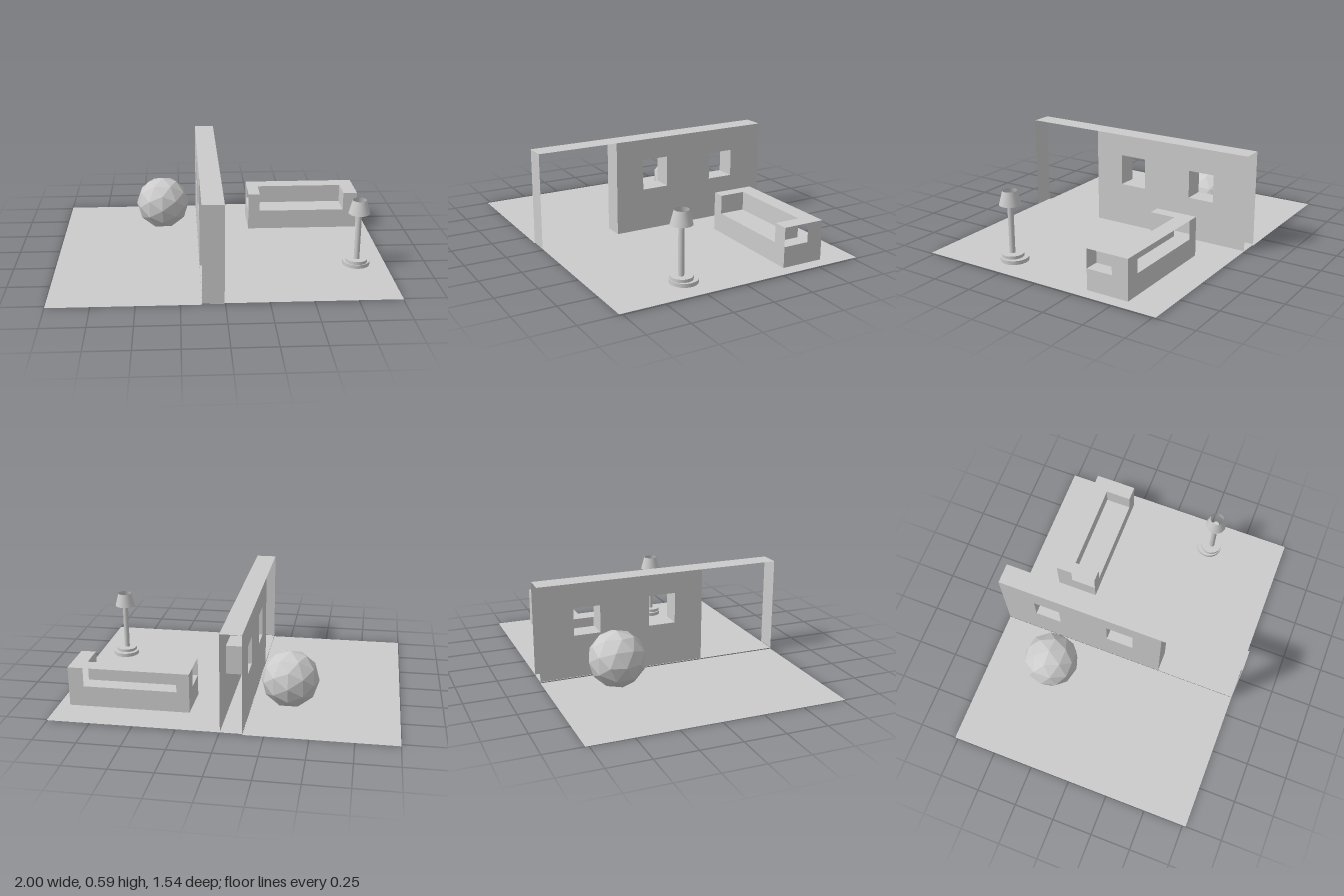
import * as THREE from 'three';

const mat = new THREE.MeshStandardMaterial({ color: 0xcccccc, side: THREE.DoubleSide, flatShading: true });
const smooth = new THREE.MeshStandardMaterial({ color: 0xcccccc, side: THREE.DoubleSide });

function add(parent, name, geometry, x = 0, y = 0, z = 0, material = mat) {
  const mesh = new THREE.Mesh(geometry, material);
  mesh.name = name;
  mesh.position.set(x, y, z);
  parent.add(mesh);
  return mesh;
}

function group(parent, name) {
  const g = new THREE.Group();
  g.name = name;
  parent.add(g);
  return g;
}

// Flat rectangles across each axis, given by their bounds
const rectY = (p, name, y, x0, x1, z0, z1) =>
  add(p, name, new THREE.PlaneGeometry(x1 - x0, z1 - z0).rotateX(-Math.PI / 2), (x0 + x1) / 2, y, (z0 + z1) / 2);
const rectZ = (p, name, z, x0, x1, y0, y1) =>
  add(p, name, new THREE.PlaneGeometry(x1 - x0, y1 - y0), (x0 + x1) / 2, (y0 + y1) / 2, z);
const rectX = (p, name, x, z0, z1, y0, y1) =>
  add(p, name, new THREE.PlaneGeometry(z1 - z0, y1 - y0).rotateY(Math.PI / 2), x, (y0 + y1) / 2, (z0 + z1) / 2);

function outline(Type, x0, x1, y0, y1) {
  const s = new Type();
  s.moveTo(x0, y0);
  s.lineTo(x1, y0);
  s.lineTo(x1, y1);
  s.lineTo(x0, y1);
  s.closePath();
  return s;
}

// Hollow dividing wall with two windows and a doorway at the front
function buildWall(parent) {
  const wall = group(parent, 'wall');
  const x0 = -0.13, x1 = -0.005, base = 0.008, top = 0.59;
  const windows = [[-0.08, 0.09, 0.27, 0.46], [-0.555, -0.39, 0.27, 0.44]];

  // Side sheets: shape x runs along -z
  const shape = outline(THREE.Shape, -0.27, 0.77, base, top);
  for (const [z0, z1, y0, y1] of windows) shape.holes.push(outline(THREE.Path, -z1, -z0, y0, y1));
  const side = new THREE.ShapeGeometry(shape).rotateY(Math.PI / 2);
  add(wall, 'wallLeftSide', side, x1);
  add(wall, 'wallRightSide', side, x0);

  // Window reveals
  for (const [z0, z1, y0, y1] of windows) {
    rectY(wall, 'windowSill', y0, x0, x1, z0, z1);
    rectY(wall, 'windowHead', y1, x0, x1, z0, z1);
    rectZ(wall, 'windowJamb', z0, x0, x1, y0, y1);
    rectZ(wall, 'windowJamb', z1, x0, x1, y0, y1);
  }
  rectY(wall, 'wallTop', top, x0, x1, -0.77, 0.77);
  rectZ(wall, 'doorJamb', 0.27, x0, x1, base, top);
  rectZ(wall, 'doorPost', 0.77, x0, x1, base, top);
}

// Sofa: closed lower body, thin-sheet back and arms open on their outer sides
function buildSofa(parent) {
  const sofa = group(parent, 'sofa');
  const [xa, xb, xc, xd] = [0.21, 0.285, 0.84, 0.93];
  const back = -0.56, mid = -0.46, front = -0.3, base = 0.01, seat = 0.135, top = 0.25;
  add(sofa, 'sofaBody', new THREE.BoxGeometry(xd - xa, seat - base, front - back),
    (xa + xd) / 2, (base + seat) / 2, (back + front) / 2);
  rectY(sofa, 'backrestTop', top, xa, xd, back, mid);
  rectZ(sofa, 'backrestFront', mid, xb, xc, seat, top);
  for (const [x0, x1, inner, outer] of [[xa, xb, xb, xa], [xc, xd, xc, xd]]) {
    rectY(sofa, 'armTop', top, x0, x1, mid, front);
    rectZ(sofa, 'armFront', front, x0, x1, seat, top);
    rectX(sofa, 'armInnerSide', inner, mid, front, seat, top);
    rectX(sofa, 'backrestSide', outer, back, mid, seat, top);
    rectZ(sofa, 'backrestCorner', back, x0, x1, seat, top);
  }
}

// Floor lamp: stepped base, pole and open shade
function buildLamp(parent) {
  const lamp = group(parent, 'floorLamp');
  const cyl = (name, r0, r1, y0, y1, z, open = false) =>
    add(lamp, name, new THREE.CylinderGeometry(r1, r0, y1 - y0, 24, 1, open), 0.82, (y0 + y1) / 2, z, smooth);
  cyl('lampBaseLower', 0.082, 0.082, 0.01, 0.033, 0.287);
  cyl('lampBaseUpper', 0.065, 0.065, 0.033, 0.052, 0.3);
  cyl('lampPole', 0.017, 0.017, 0.052, 0.36, 0.304);
  cyl('lampShade', 0.064, 0.042, 0.345, 0.428, 0.304, true);
}

export function createModel() {
  const model = new THREE.Group();
  model.name = 'room';

  // Floor in two sheets with a tiny step under the wall
  rectY(model, 'floorRight', 0, -1, -0.13, -0.77, 0.77);
  rectY(model, 'floorLeft', 0.006, -0.13, 1, -0.77, 0.77);

  buildWall(model);
  buildSofa(model);
  buildLamp(model);

  // Faceted ball
  add(model, 'ball', new THREE.IcosahedronGeometry(0.171, 1), -0.355, 0.182, -0.368);
  return model;
}
